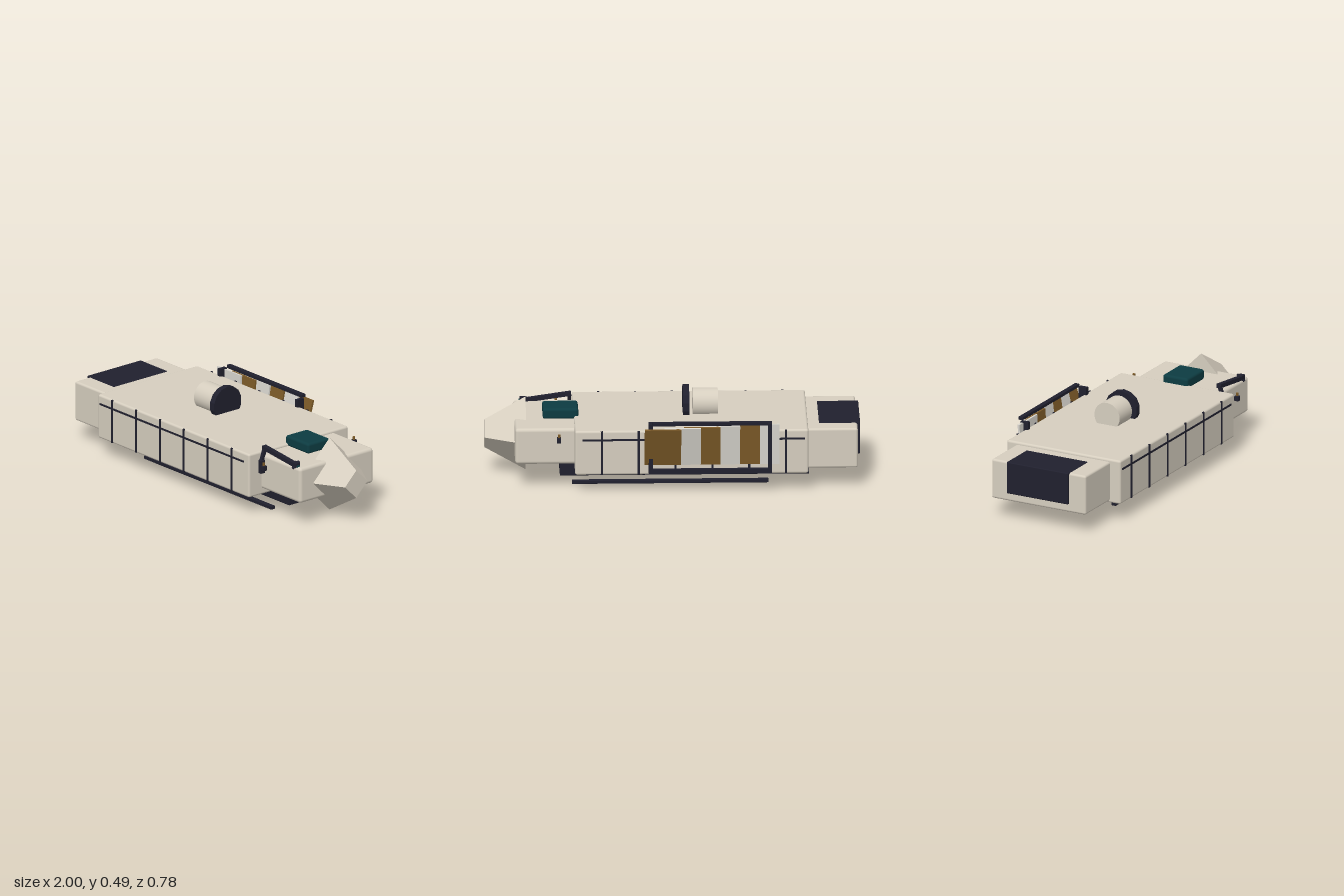
import * as THREE from 'three';
import { RoundedBoxGeometry } from 'three/addons/geometries/RoundedBoxGeometry.js';

const mat = (name, color, extra = {}) => {
  const m = new THREE.MeshStandardMaterial({ color, ...extra });
  m.name = name;
  return m;
};

export function createModel() {
  const hull = mat('hull cream', 0xd6cebf);
  const hullFlat = hull.clone();
  hullFlat.flatShading = true;
  const dark = mat('dark navy', 0x20202e);
  const teal = mat('teal glass', 0x0d3c42);
  const bronze = mat('bronze', 0x7c5a28);
  const white = mat('panel white', 0xd8d5ce);

  const group = new THREE.Group();
  const CZ = 0.037; // centre line of the ship

  const add = (name, geo, material, x = 0, y = 0, z = 0, parent = group) => {
    const m = new THREE.Mesh(geo, material);
    m.name = name;
    m.position.set(x, y, z);
    parent.add(m);
    return m;
  };
  // box given by its min and max on each axis; r rounds the edges
  const box = (name, material, [x0, x1], [y0, y1], [z0, z1], r = 0) => {
    const s = [x1 - x0, y1 - y0, z1 - z0];
    const geo = r ? new RoundedBoxGeometry(...s, 3, r) : new THREE.BoxGeometry(...s);
    return add(name, geo, material, (x0 + x1) / 2, (y0 + y1) / 2, (z0 + z1) / 2);
  };
  // square bar between two points
  const bar = (name, material, a, b, w, h) => {
    const p = new THREE.Vector3(...a), q = new THREE.Vector3(...b);
    const m = add(name, new THREE.BoxGeometry(w, h, p.distanceTo(q)), material);
    m.position.copy(p).lerp(q, 0.5);
    m.lookAt(q);
    return m;
  };

  // body sections
  box('mainHull', hull, [-0.72, 0.525], [0.097, 0.343], [-0.311, 0.384], 0.012);
  box('tailSection', hull, [-0.985, -0.70], [0.108, 0.328], [-0.255, 0.32], 0.012);
  box('noseSection', hull, [0.50, 0.842], [0.13, 0.329], [-0.22, 0.295], 0.018);
  box('engineBlock', dark, [-1.0, -0.78], [0.155, 0.332], [-0.155, 0.22], 0.005);
  box('keel', dark, [-0.73, 0.60], [0.025, 0.102], [-0.09, 0.167], 0.003);

  // four-sided tapering prow
  const prow = new THREE.CylinderGeometry(0.078, 0.204, 0.22, 4);
  prow.rotateZ(-Math.PI / 2);
  add('prow', prow, hullFlat, 0.89, 0.226, CZ);

  // canopy
  box('canopy', teal, [0.50, 0.69], [0.325, 0.384], [-0.043, 0.11], 0.014);

  // roof drum and dish
  const drum = new THREE.CylinderGeometry(0.077, 0.077, 0.135, 32);
  drum.rotateZ(Math.PI / 2);
  add('roofDrum', drum, hull, -0.178, 0.39, CZ);
  const dish = new THREE.CylinderGeometry(0.097, 0.097, 0.034, 14);
  dish.rotateY(Math.PI / 2);
  dish.rotateZ(Math.PI / 2);
  const darkFlat = dark.clone();
  darkFlat.flatShading = true;
  add('roofDish', dish, darkFlat, -0.075, 0.39, CZ);

  // skids
  for (const z of [0.225, -0.147]) {
    box('skid', dark, [-0.51, 0.537], [0, 0.018], [z - 0.0135, z + 0.0135], 0.002);
  }

  // seams along both hull sides
  for (const z of [0.384, -0.311]) {
    const zr = [z - 0.004, z + 0.004];
    box('sideSeam', dark, [-0.70, 0.485], [0.288, 0.298], zr);
    for (let i = 0; i < 6; i++) {
      const x = -0.60 + i * 0.1965;
      box('hullRib', dark, [x - 0.006, x + 0.006], [0.1, 0.342], zr);
    }
  }

  // side lamps
  for (const z of [0.353, -0.278]) {
    box('lampBase', dark, [0.599, 0.622], [0.27, 0.298], [z - 0.013, z + 0.013], 0.003);
    add('lampTip', new THREE.CylinderGeometry(0.007, 0.007, 0.017, 12), bronze, 0.61, 0.306, z);
  }

  // left manipulator arm
  box('armMount', dark, [0.53, 0.555], [0.228, 0.302], [0.295, 0.325], 0.003);
  bar('armShoulder', dark, [0.54, 0.29, 0.31], [0.54, 0.365, 0.285], 0.018, 0.018);
  bar('armBoom', dark, [0.53, 0.366, 0.284], [0.79, 0.331, 0.276], 0.026, 0.022);
  box('armClawBase', dark, [0.768, 0.805], [0.318, 0.35], [0.262, 0.292], 0.003);
  for (const s of [-1, 1]) {
    bar('armClaw', dark, [0.785, 0.333, 0.277], [0.785, 0.333 + s * 0.016, 0.277 - s * 0.022], 0.014, 0.008);
  }
  box('armLens', teal, [0.785, 0.811], [0.325, 0.336], [0.271, 0.288]);

  // rear panel frame
  for (const x of [-0.514, 0.122]) {
    box('frameEnd', dark, [x - 0.011, x + 0.011], [0.11, 0.385], [-0.336, -0.309]);
    box('frameBracket', dark, [x - 0.011, x + 0.011], [0.33, 0.385], [-0.336, -0.29]);
  }
  box('frameBottom', dark, [-0.52, 0.13], [0.108, 0.132], [-0.336, -0.309]);
  box('frameTop', dark, [-0.503, 0.115], [0.383, 0.401], [-0.36, -0.334], 0.002);

  // fan of overlapping slats, each tilted out more toward the prow
  for (let i = 0; i < 6; i++) {
    const geo = new THREE.BoxGeometry(0.195, 0.222, 0.012);
    geo.translate(0, 0.111, 0);
    const slat = add('panelSlat', geo, i % 2 ? white : bronze, 0.058 - i * 0.105, 0.157, -0.319);
    slat.rotation.x = -(0.285 - i * 0.052);
  }

  return group;
}
